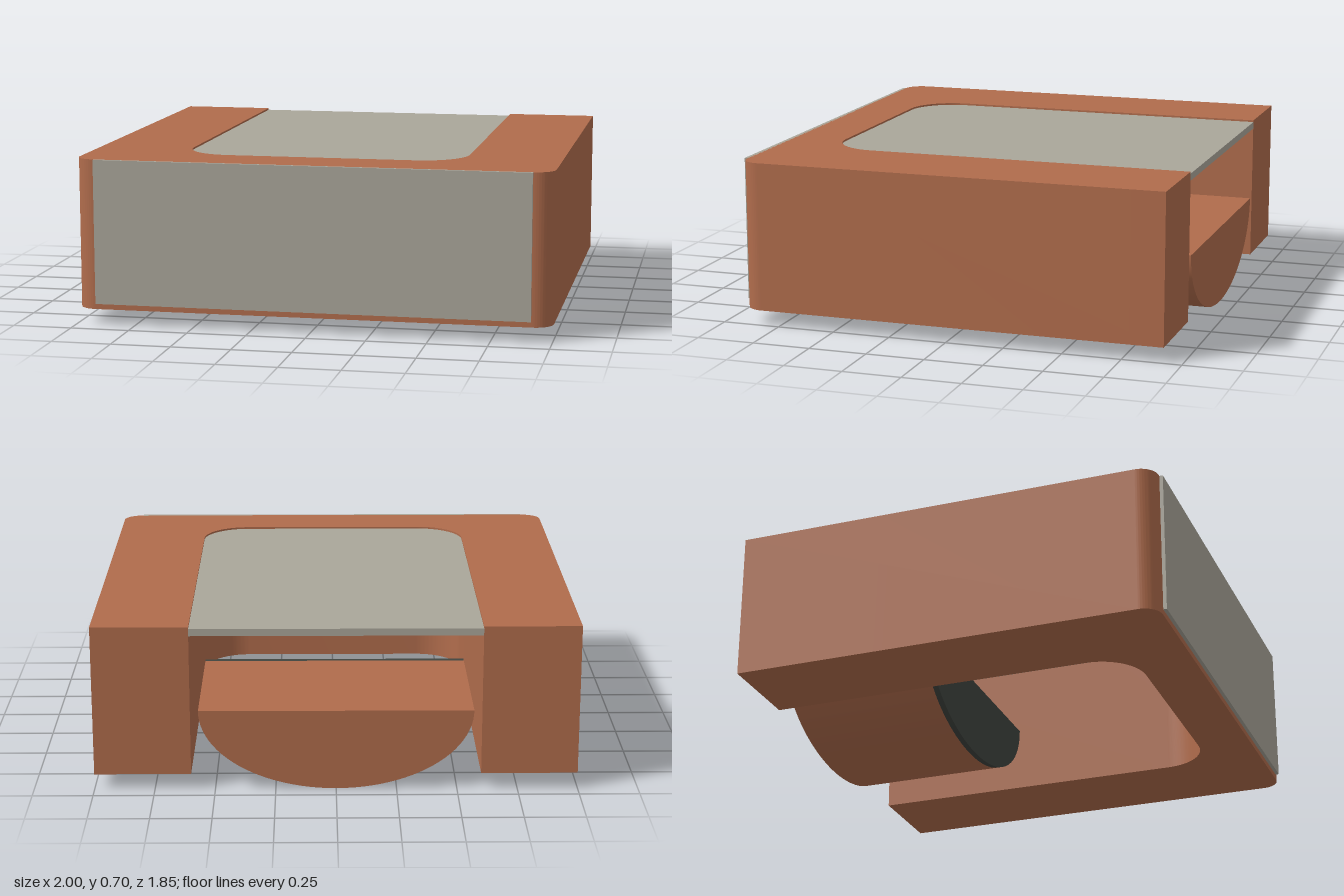
import * as THREE from 'three';
import { toCreasedNormals } from 'three/addons/utils/BufferGeometryUtils.js';

const BACK = -0.925, TOP = 0.7;
const clay = new THREE.MeshStandardMaterial({ color: 0xb06c4c });
const grey = new THREE.MeshStandardMaterial({ color: 0xaaa69a });
const dark = new THREE.MeshStandardMaterial({ color: 0x40443f });

function extrude(shape, depth) {
  return new THREE.ExtrudeGeometry(shape, { depth, bevelEnabled: false, curveSegments: 24 });
}

function part(name, geometry, material) {
  const mesh = new THREE.Mesh(toCreasedNormals(geometry, 0.6), material);
  mesh.name = name;
  return mesh;
}

// Plan outline (shape y = -z), extruded upwards from y0 to y1
function slab(name, shape, y0, y1, material) {
  const g = extrude(shape, y1 - y0).rotateX(-Math.PI / 2).translate(0, y0, 0);
  return part(name, g, material);
}

// Half-ellipse bowl profile, extruded along z from z0 to z1
function halfRound(name, z0, z1, material) {
  const s = new THREE.Shape();
  s.moveTo(-0.567, 0.34);
  s.absellipse(0, 0.34, 0.567, 0.34, Math.PI, Math.PI * 2, false, 0);
  s.closePath();
  return part(name, extrude(s, z1 - z0).translate(0, 0, z0), material);
}

// Traces the slot from its back right corner round to its back left corner
function traceSlot(s) {
  const w = 0.6, f = -0.68, r = 0.2;
  s.lineTo(-w, f + r);
  s.absarc(-w + r, f + r, r, Math.PI, Math.PI * 1.5, false);
  s.lineTo(w - r, f);
  s.absarc(w - r, f + r, r, Math.PI * 1.5, Math.PI * 2, false);
  s.lineTo(w, -BACK);
}

export function createModel() {
  const group = new THREE.Group();

  // U-shaped body, open at the back, with rounded front corners
  const r = 0.08, f = -0.91;
  const body = new THREE.Shape();
  body.moveTo(-0.6, -BACK);
  traceSlot(body);
  body.lineTo(1, -BACK);
  body.lineTo(1, f + r);
  body.absarc(1 - r, f + r, r, 0, -Math.PI / 2, true);
  body.lineTo(-1 + r, f);
  body.absarc(-1 + r, f + r, r, -Math.PI / 2, -Math.PI, true);
  body.lineTo(-1, -BACK);
  body.closePath();
  group.add(slab('body', body, 0.065, TOP, clay));

  // Thin cover closing the top of the slot
  const cover = new THREE.Shape();
  cover.moveTo(-0.6, -BACK);
  traceSlot(cover);
  cover.closePath();
  group.add(slab('topCover', cover, 0.662, TOP - 0.008, grey));

  // Front panel
  const panel = new THREE.BoxGeometry(1.83, 0.61, 0.02).translate(0, 0.395, 0.915);
  group.add(part('frontPanel', panel, grey));

  // Half-round block hanging in the slot, with a dark face plate
  group.add(halfRound('halfRoundBlock', BACK, -0.265, clay));
  group.add(halfRound('blockFacePlate', -0.265, -0.24, dark));

  return group;
}
